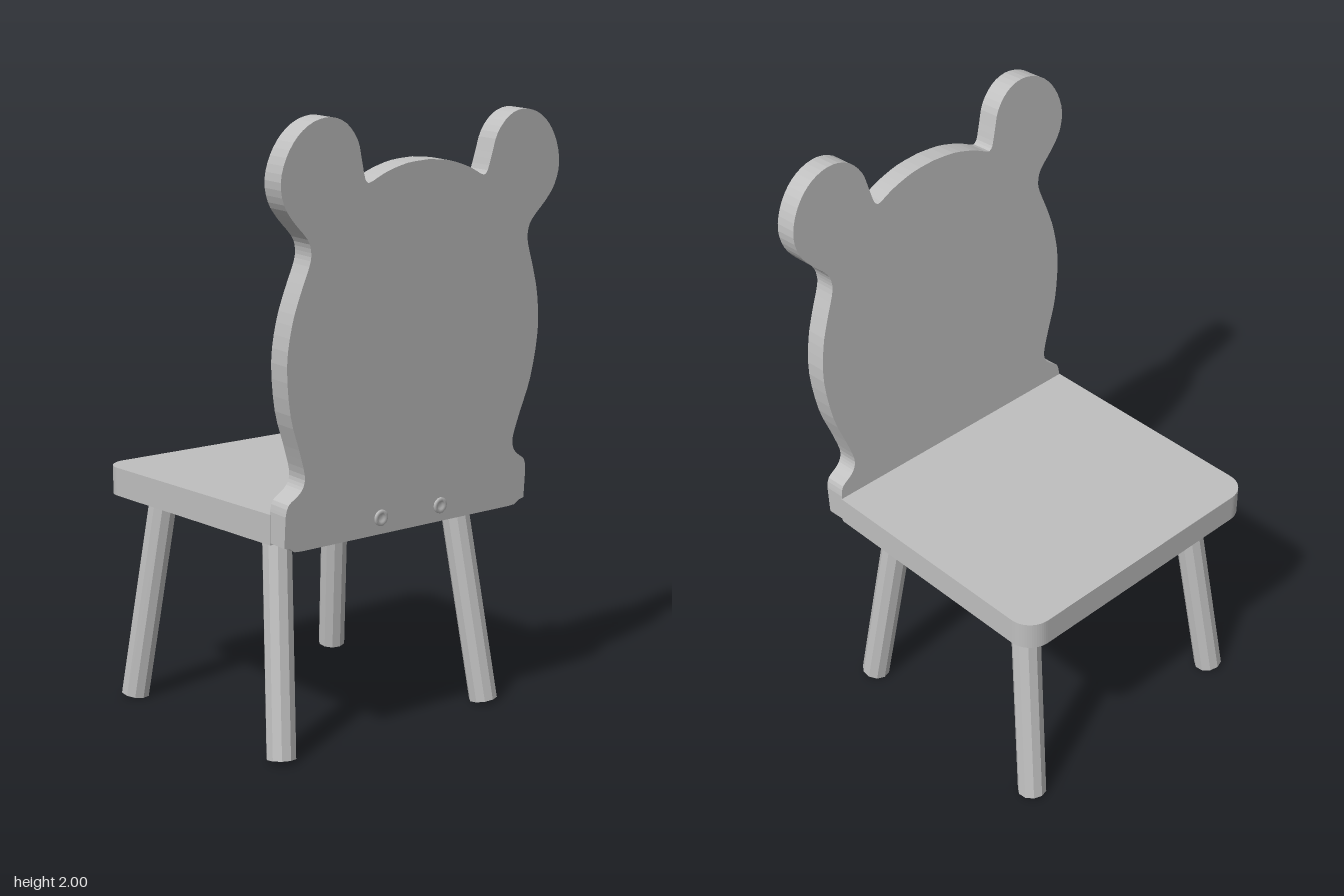
import * as THREE from 'three';

const V2 = (p) => new THREE.Vector2(p[0], p[1]);

export function createModel() {
  const model = new THREE.Group();
  model.name = 'childChair';
  const paint = new THREE.MeshStandardMaterial({ color: 0xbfbfbf });
  paint.name = 'grey paint';

  const add = (parent, geometry, name) => {
    const mesh = new THREE.Mesh(geometry, paint);
    mesh.name = name;
    parent.add(mesh);
    return mesh;
  };

  // Seat: slab with two rounded corners on the -z side
  const w = 0.507, zMin = -0.52, zMax = 0.374, r = 0.08;
  const seatShape = new THREE.Shape();
  seatShape.moveTo(-w, -zMax);
  seatShape.lineTo(w, -zMax);
  seatShape.lineTo(w, -zMin - r);
  seatShape.absarc(w - r, -zMin - r, r, 0, Math.PI / 2, false);
  seatShape.absarc(-w + r, -zMin - r, r, Math.PI / 2, Math.PI, false);
  const seatGeo = new THREE.ExtrudeGeometry(seatShape, { depth: 0.095, bevelEnabled: false, curveSegments: 8 });
  seatGeo.rotateX(-Math.PI / 2);
  add(model, seatGeo, 'seat').position.y = 0.715;

  // Backrest: half outline from bottom to top, mirrored, leaning backwards
  const base = 0.703;
  const foot = [[0.44, 0.703], [0.465, 0.705], [0.485, 0.718], [0.505, 0.722]];
  const side = new THREE.SplineCurve([
    [0.505, 0.82], [0.495, 0.855], [0.46, 0.88], [0.441, 0.903], [0.437, 0.94],
    [0.462, 1.02], [0.5, 1.13], [0.52, 1.28], [0.507, 1.4], [0.48, 1.49],
    [0.45, 1.57], [0.445, 1.61], [0.46, 1.65], [0.515, 1.705], [0.552, 1.755],
    [0.567, 1.82], [0.55, 1.89], [0.51, 1.95], [0.455, 1.988], [0.39, 2.0],
    [0.33, 1.98], [0.285, 1.93], [0.266, 1.87], [0.25, 1.815], [0.236, 1.802],
  ].map(V2)).getPoints(72);
  const crown = new THREE.SplineCurve(
    [[0.222, 1.806], [0.165, 1.832], [0.085, 1.854], [0, 1.861]].map(V2)).getPoints(9);
  const half = [...foot.map(V2), ...side, ...crown];
  const mirrored = half.slice(0, -1).reverse().map((p) => new THREE.Vector2(-p.x, p.y));
  const outline = [...half, ...mirrored].map((p) => new THREE.Vector2(p.x, p.y - base));
  const thickness = 0.075;
  const back = new THREE.Group();
  back.name = 'back';
  back.position.set(0, base, 0.365);
  back.rotation.x = 0.061;
  model.add(back);
  add(back, new THREE.ExtrudeGeometry(new THREE.Shape(outline), { depth: thickness, bevelEnabled: false }), 'backrest');

  // Two screws with recessed heads on the rear face
  const headProfile = [[0.026, -0.004], [0.026, 0.006], [0.014, 0.006], [0.012, 0.001], [0, 0.001]].map(V2);
  for (const s of [-1, 1]) {
    const geo = new THREE.LatheGeometry(headProfile, 16);
    geo.rotateX(Math.PI / 2);
    add(back, geo, s > 0 ? 'leftScrew' : 'rightScrew').position.set(s * 0.125, 0.757 - base, thickness);
  }

  // Four splayed, faceted legs
  const up = new THREE.Vector3(0, 1, 0);
  for (const s of [-1, 1]) {
    for (const [zBottom, zTop, name] of [[0.337, 0.237, 'rearLeg'], [-0.46, -0.36, 'frontLeg']]) {
      const bottom = new THREE.Vector3(s * 0.437, 0.009, zBottom);
      const top = new THREE.Vector3(s * 0.372, 0.73, zTop);
      const axis = top.clone().sub(bottom);
      const geo = new THREE.CylinderGeometry(0.048, 0.048, axis.length(), 10).toNonIndexed();
      geo.computeVertexNormals();
      const leg = add(model, geo, name);
      leg.position.copy(bottom).add(top).multiplyScalar(0.5);
      leg.quaternion.setFromUnitVectors(up, axis.normalize());
    }
  }
  return model;
}
